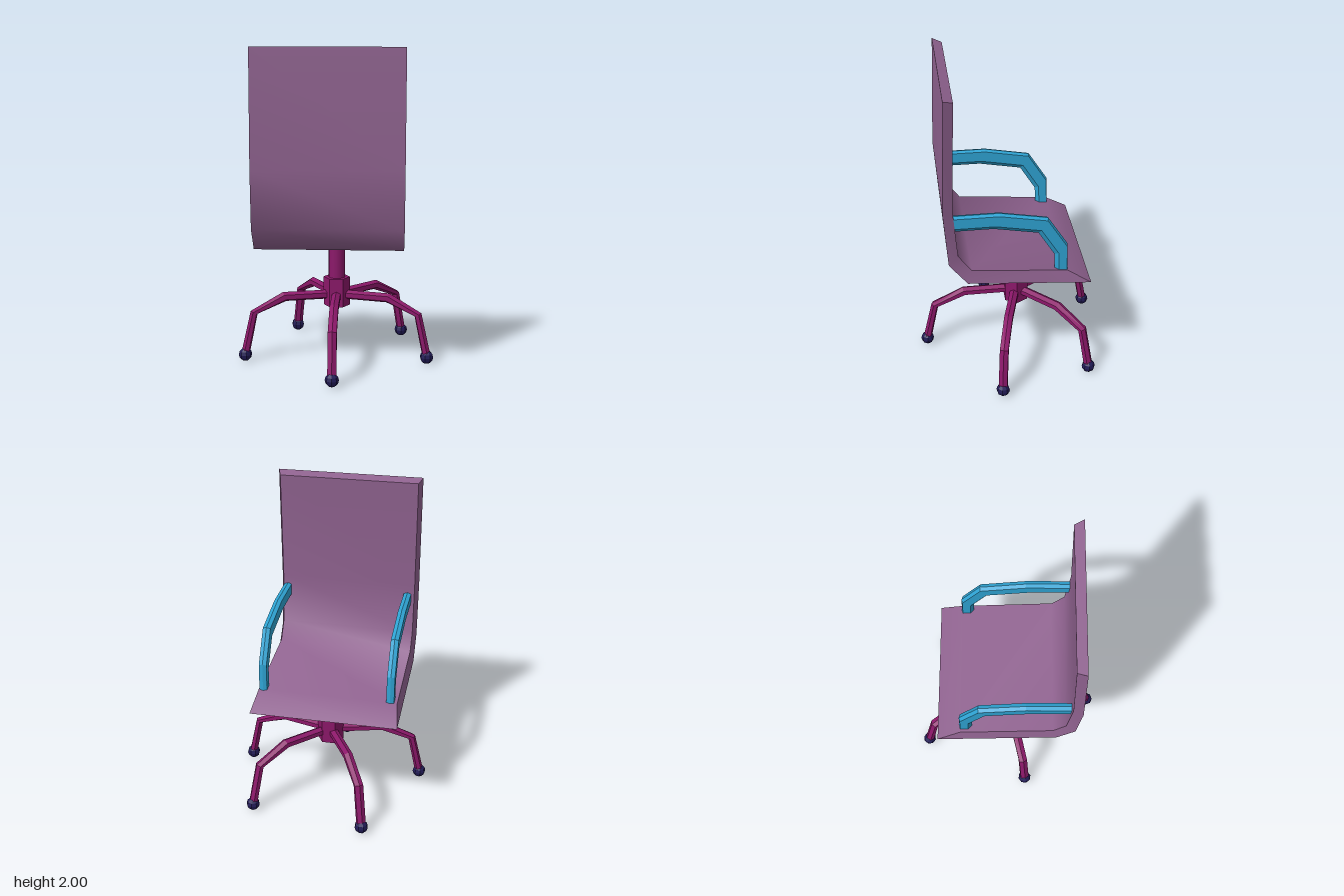
import * as THREE from 'three';
import { toCreasedNormals } from 'three/addons/utils/BufferGeometryUtils.js';

const paint = (color, flatShading = false) => new THREE.MeshStandardMaterial({ color, flatShading });

// Solid swept between two [z, y] outlines; section lists [x, t], t running from outline a (0) to b (1).
function loft(a, b, section) {
  const n = section.length, pos = [], idx = [];
  a.forEach(([az, ay], i) => {
    const [bz, by] = b[i];
    for (const [x, t] of section) pos.push(x, ay + (by - ay) * t, az + (bz - az) * t);
  });
  for (let i = 0; i < a.length - 1; i++) {
    for (let j = 0; j < n; j++) {
      const p = i * n + j, q = i * n + (j + 1) % n;
      idx.push(p, p + n, q + n, p, q + n, q);
    }
  }
  const e = (a.length - 1) * n;
  for (let j = 1; j < n - 1; j++) idx.push(0, j, j + 1, e, e + j + 1, e + j);
  const g = new THREE.BufferGeometry();
  g.setAttribute('position', new THREE.Float32BufferAttribute(pos, 3));
  g.setIndex(idx);
  return toCreasedNormals(g, 0.9);
}

// Six-sided section with a ridge on top and bottom
const ridged = (w, t0, t1) => [[0, 0], [w, t0], [w, t1], [0, 1], [-w, t1], [-w, t0]];

export function createModel() {
  const chair = new THREE.Group();
  chair.name = 'officeChair';
  const add = (name, geometry, material, parent = chair) => {
    const m = new THREE.Mesh(geometry, material);
    m.name = name;
    parent.add(m);
    return m;
  };
  const shellMat = paint(0x8f628f);
  const armMat = paint(0x2fa4d4, true);
  const baseMat = paint(0x8c186a, true);
  const columnMat = paint(0x8c186a);
  const footMat = paint(0x211a55, true);

  // Seat and backrest in one bent shell, narrower on the inside
  const w = 0.457;
  const shell = loft(
    [[0.414, 2], [0.44, 1.28], [0.414, 0.923], [0.302, 0.78], [-0.46, 0.72]],
    [[0.355, 1.98], [0.38, 1.29], [0.355, 0.97], [0.276, 0.86], [-0.313, 0.81]],
    [[-w, 0], [w, 0], [w - 0.022, 1], [-w + 0.022, 1]]);
  add('seatShell', shell, shellMat).position.x = -0.028;

  // Armrests rising from the seat and running into the backrest
  const arm = loft(
    [[-0.318, 0.79], [-0.313, 0.987], [-0.19, 1.183], [0.1, 1.236], [0.39, 1.236]],
    [[-0.239, 0.79], [-0.233, 0.918], [-0.133, 1.08], [0.138, 1.13], [0.39, 1.13]],
    ridged(0.024, 0.08, 0.72));
  add('rightArmrest', arm, armMat).position.x = -0.419;
  add('leftArmrest', arm, armMat).position.x = 0.378;

  // Base: column, hexagonal hub and five legs
  const base = new THREE.Group();
  base.name = 'base';
  base.position.set(0.004, 0, -0.046);
  chair.add(base);
  add('column', new THREE.CylinderGeometry(0.053, 0.053, 0.3, 16), columnMat, base).position.y = 0.595;
  const hub = add('hub', new THREE.CylinderGeometry(0.085, 0.085, 0.185, 6), baseMat, base);
  hub.position.y = 0.433;
  hub.rotation.y = Math.PI / 6;

  const legShape = loft(
    [[0, 0.442], [0.353, 0.442], [0.562, 0.33], [0.625, 0.06]],
    [[0, 0.382], [0.332, 0.382], [0.518, 0.308], [0.572, 0.05]],
    ridged(0.027, 0.25, 0.75));
  const ball = new THREE.SphereGeometry(0.043, 8, 6);
  for (let i = 0; i < 5; i++) {
    const leg = new THREE.Group();
    leg.name = 'leg' + (i + 1);
    leg.rotation.y = THREE.MathUtils.degToRad(75 - 75 * i);
    add('legBar', legShape, baseMat, leg);
    add('foot', ball, footMat, leg).position.set(0, 0.045, 0.6);
    base.add(leg);
  }
  return chair;
}
